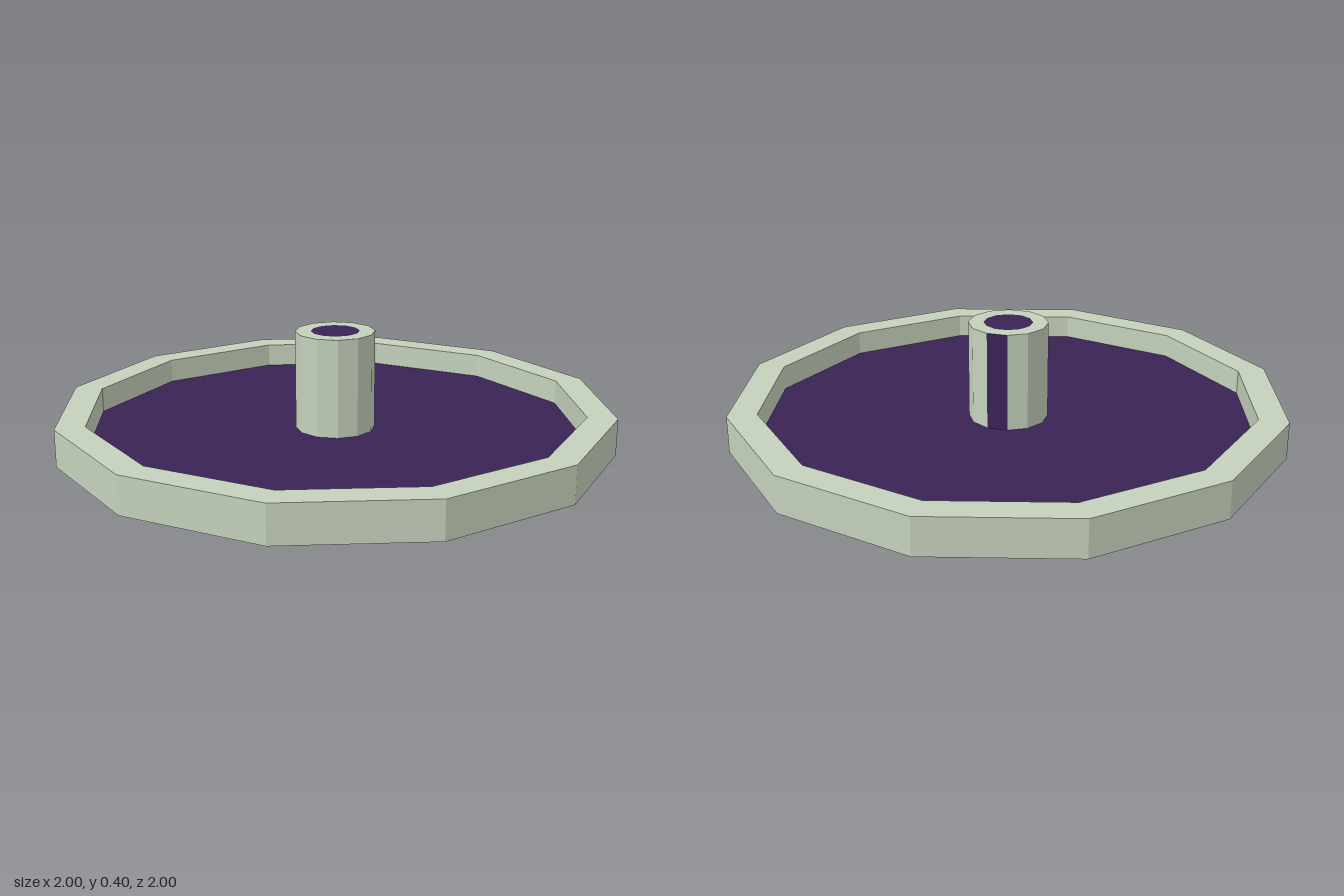
import * as THREE from 'three';

const SIDES = 12;
const STEP = (Math.PI * 2) / SIDES;
const RIM_R = 1, INNER_R = 0.895, RIM_TOP = 0.133, FLOOR_Y = 0.044;
const COLUMN_R = 0.143, MOUTH_R = 0.088, COLUMN_TOP = 0.4;

export function createModel() {
  const group = new THREE.Group();
  const stone = new THREE.MeshStandardMaterial({ name: 'paleStone', color: 0xc5d1bc });
  const purple = new THREE.MeshStandardMaterial({ name: 'deepPurple', color: 0x392356 });

  const add = (name, geometry, material, y = 0) => {
    const flat = geometry.toNonIndexed();
    flat.computeVertexNormals();
    const mesh = new THREE.Mesh(flat, material);
    mesh.name = name;
    mesh.position.y = y;
    group.add(mesh);
  };

  // Shallow basin: underside, outer wall, rim and inner wall
  const profile = [[0, 0], [RIM_R, 0], [RIM_R, RIM_TOP], [INNER_R, RIM_TOP], [INNER_R, FLOOR_Y]]
    .map(([r, y]) => new THREE.Vector2(r, y));
  add('basin', new THREE.LatheGeometry(profile, SIDES), stone);

  // Filled basin surface
  add('basinSurface', new THREE.CircleGeometry(INNER_R, SIDES).rotateX(-Math.PI / 2), purple, FLOOR_Y);

  // Central column, turned half a side, with one dark face at the back
  const height = COLUMN_TOP - FLOOR_Y;
  const middle = FLOOR_Y + height / 2;
  const wall = (firstSide, count) => new THREE.CylinderGeometry(
    COLUMN_R, COLUMN_R, height, count, 1, true, (firstSide + 0.5) * STEP, count * STEP);
  add('columnWall', wall(7, 11), stone, middle);
  add('columnDarkFace', wall(6, 1), purple, middle);

  // Column lip and the dark mouth flush with it
  add('columnLip', new THREE.RingGeometry(MOUTH_R, COLUMN_R, SIDES, 1, STEP / 2).rotateX(-Math.PI / 2), stone, COLUMN_TOP);
  add('columnMouth', new THREE.CircleGeometry(MOUTH_R, SIDES, STEP / 2).rotateX(-Math.PI / 2), purple, COLUMN_TOP);

  return group;
}
